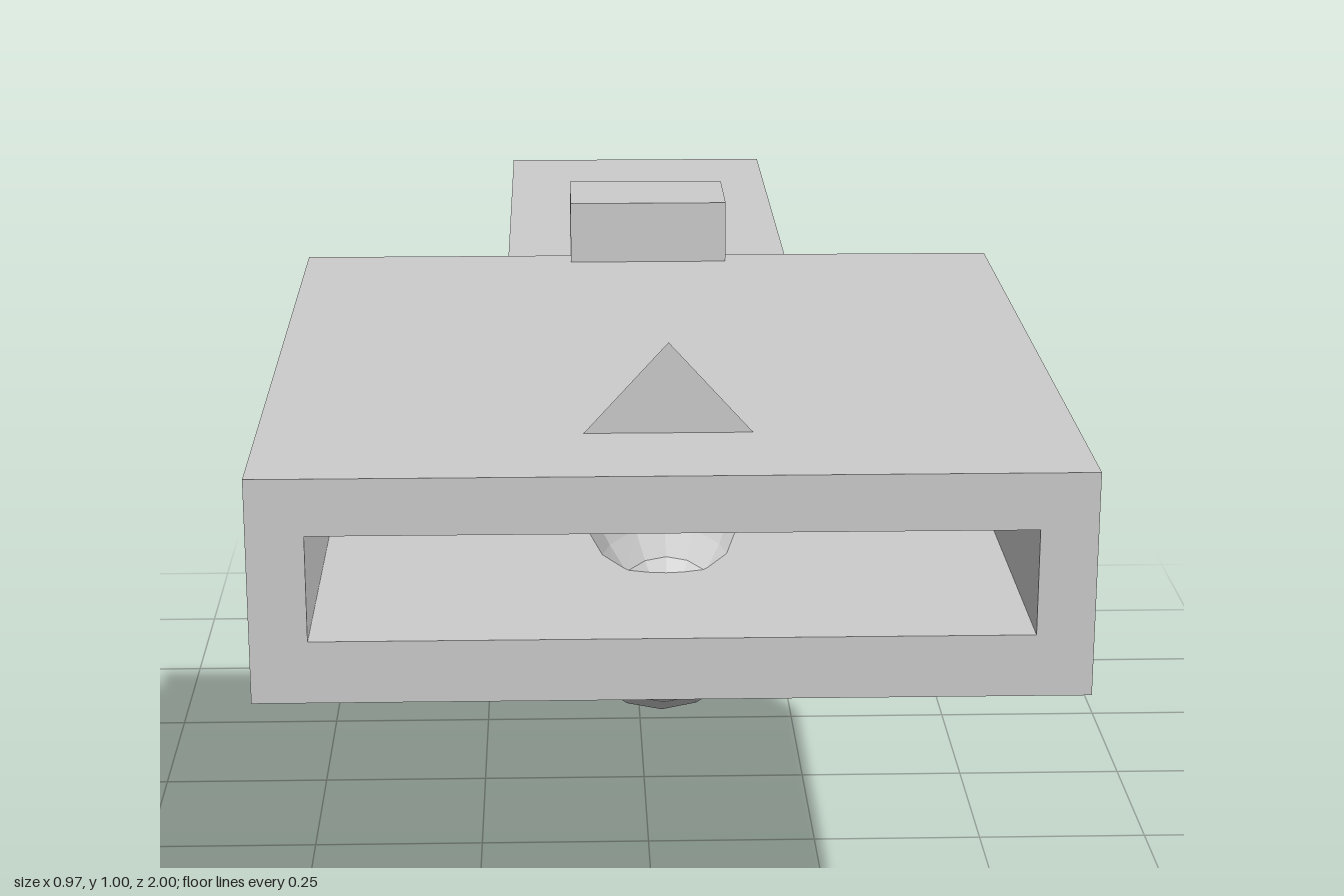
import * as THREE from 'three';

const material = new THREE.MeshStandardMaterial({ color: 0xcccccc, flatShading: true });

export function createModel() {
  const model = new THREE.Group();

  function add(name, geometry) {
    const mesh = new THREE.Mesh(geometry, material);
    mesh.name = name;
    model.add(mesh);
    return mesh;
  }

  // Side outline of [z, y] points, extruded across x and centred
  function addProfile(name, points, width) {
    const shape = new THREE.Shape(points.map(([z, y]) => new THREE.Vector2(z, y)));
    const geometry = new THREE.ExtrudeGeometry(shape, { depth: width, bevelEnabled: false });
    geometry.translate(0, 0, -width / 2).rotateY(-Math.PI / 2);
    return add(name, geometry);
  }

  const rect = (Type, x, y0, y1) => new Type([
    new THREE.Vector2(-x, y0), new THREE.Vector2(x, y0),
    new THREE.Vector2(x, y1), new THREE.Vector2(-x, y1),
  ]);

  // Wide housing with a deep slot open at the front, closed by a rear wall
  const face = rect(THREE.Shape, 0.485, 0.62, 0.89);
  face.holes.push(rect(THREE.Path, 0.418, 0.695, 0.822));
  add('housing', new THREE.ExtrudeGeometry(face, { depth: 1, bevelEnabled: false }));
  add('housingBack', new THREE.BoxGeometry(0.97, 0.27, 0.06)).position.set(0, 0.755, -0.03);

  // Receiver and grip
  addProfile('receiver', [[-0.06, 0.63], [-0.06, 0.88], [-0.77, 0.88], [-0.965, 0.63]], 0.4);
  addProfile('grip', [[-0.455, 0.64], [-0.68, 0], [-1, 0], [-0.765, 0.64]], 0.236);

  // Trigger and its guard
  addProfile('triggerGuard', [
    [-0.14, 0.64], [-0.205, 0.47], [-0.26, 0.44], [-0.54, 0.44],
    [-0.52, 0.51], [-0.26, 0.51], [-0.215, 0.64],
  ], 0.06);
  addProfile('trigger', [
    [-0.41, 0.64], [-0.355, 0.55], [-0.395, 0.52], [-0.47, 0.6], [-0.49, 0.64],
  ], 0.06);

  // Rear sight block
  addProfile('rearSight', [
    [-0.02, 0.88], [-0.02, 0.975], [-0.165, 0.975], [-0.245, 0.88],
  ], 0.22);

  // Front sight: upright triangle tapering to a point behind it
  const a = [-0.1, 0.89, 0.83], b = [0.1, 0.89, 0.83], top = [0, 1, 0.83], tip = [0, 0.89, 0.63];
  const sight = new THREE.BufferGeometry();
  sight.setAttribute('position', new THREE.Float32BufferAttribute(
    [a, b, top, b, tip, top, tip, a, top, a, tip, b].flat(), 3));
  sight.computeVertexNormals();
  add('frontSight', sight);

  // Lower tube with a rounded nose, lofted through rings of [z, centre y, radius x, radius y]
  const rings = [
    [-0.06, 0.597, 0, 0], [-0.06, 0.597, 0.13, 0.147], [0.6, 0.597, 0.13, 0.147],
    [0.7, 0.617, 0.105, 0.118], [0.76, 0.632, 0.075, 0.08],
    [0.78, 0.64, 0.04, 0.04], [0.78, 0.64, 0, 0],
  ];
  const sides = 18, positions = [], indices = [];
  rings.forEach(([z, y, rx, ry], r) => {
    for (let i = 0; i < sides; i++) {
      const t = (i / sides) * Math.PI * 2;
      positions.push(Math.sin(t) * rx, y + Math.cos(t) * ry, z);
      if (r === 0) continue;
      const j = (i + 1) % sides;
      const p = (r - 1) * sides, q = r * sides;
      indices.push(p + i, q + i, p + j, p + j, q + i, q + j);
    }
  });
  const tube = new THREE.BufferGeometry();
  tube.setAttribute('position', new THREE.Float32BufferAttribute(positions, 3));
  tube.setIndex(indices);
  tube.computeVertexNormals();
  add('lowerTube', tube);

  return model;
}
